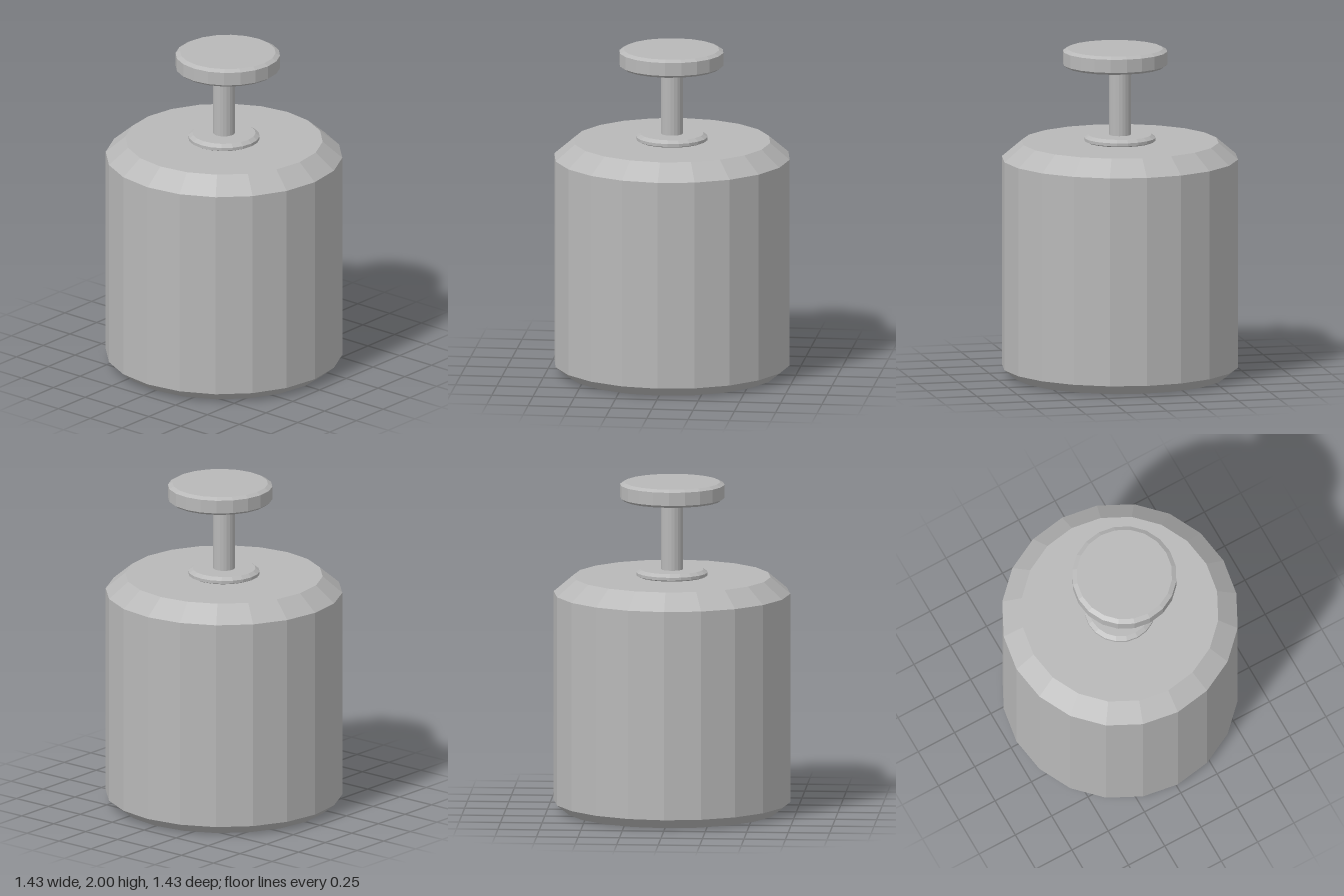
import * as THREE from 'three';

const SIDES = 20;

export function createModel() {
  const model = new THREE.Group();
  model.name = 'plungerCanister';
  const grey = new THREE.MeshStandardMaterial({ color: 0xb8b8b8, flatShading: true });
  grey.name = 'plain grey';

  // Faceted turned part from [radius, height] pairs, listed bottom to top
  function turned(name, profile) {
    const points = profile.map(([r, y]) => new THREE.Vector2(r, y));
    const mesh = new THREE.Mesh(new THREE.LatheGeometry(points, SIDES), grey);
    mesh.name = name;
    model.add(mesh);
    return mesh;
  }

  // Drum with bevelled base and shoulder
  turned('body', [[0, 0], [0.64, 0], [0.713, 0.06], [0.713, 1.33], [0.595, 1.43], [0, 1.43]]);

  // Collar around the foot of the stem
  turned('collar', [[0, 1.43], [0.2, 1.43], [0.215, 1.437], [0.215, 1.455], [0.19, 1.473], [0, 1.473]]);

  turned('stem', [[0.066, 1.46], [0.066, 1.87]]);

  // Push knob: its disc sits slightly forward while its underside meets the stem
  const knob = turned('knob', [[0.066, 1.86], [0.295, 1.89], [0.315, 1.905], [0.315, 1.985], [0.288, 2], [0, 2]]);
  const pos = knob.geometry.attributes.position;
  for (let i = 0; i < pos.count; i++) {
    if (pos.getY(i) > 1.88) pos.setZ(i, pos.getZ(i) + 0.03);
  }
  knob.geometry.computeVertexNormals();

  return model;
}
